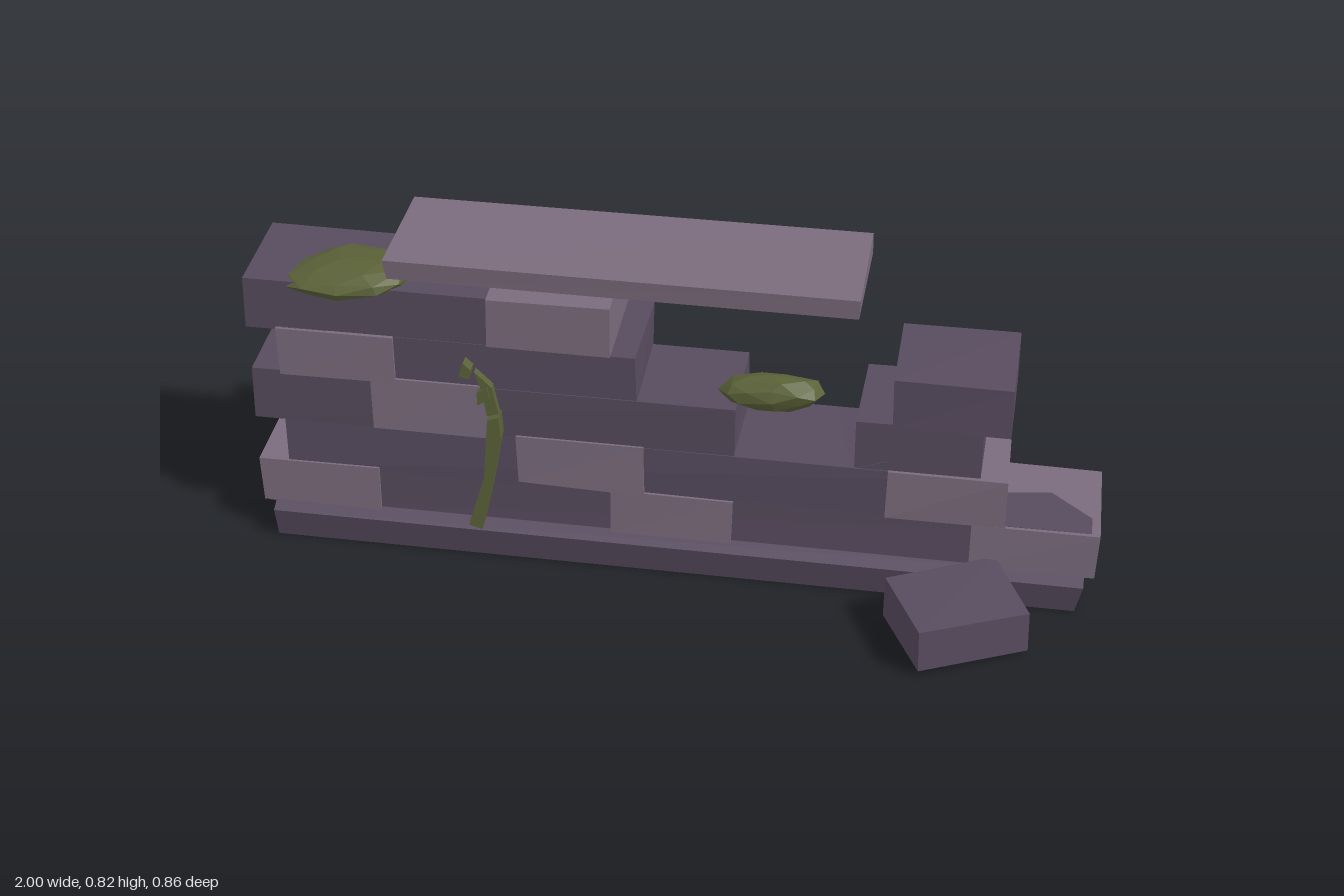
import * as THREE from 'three';

const mat = (name, color) => {
  const m = new THREE.MeshStandardMaterial({ color, flatShading: true });
  m.name = name;
  return m;
};

export function createModel() {
  const group = new THREE.Group();
  const dark = mat('dark stone', 0x584c5f);
  const light = mat('light stone', 0x7b6c7d);
  const moss = mat('moss green', 0x5b6238);

  let seed = 7;
  const rand = () => {
    seed = (seed * 16807) % 2147483647;
    return seed / 2147483647 - 0.5;
  };

  const add = (name, geo, material) => {
    const mesh = new THREE.Mesh(geo, material);
    mesh.name = name;
    group.add(mesh);
    return mesh;
  };

  // Moves shared corners together so the solid stays closed
  const roughen = (geo, amount) => {
    const g = geo.index ? geo.toNonIndexed() : geo;
    const p = g.attributes.position;
    const moved = {};
    for (let i = 0; i < p.count; i++) {
      const v = new THREE.Vector3().fromBufferAttribute(p, i);
      const key = v.toArray().map((n) => Math.round(n * 1000)).join();
      moved[key] ??= [rand() * amount, rand() * amount, rand() * amount];
      const [a, b, c] = moved[key];
      p.setXYZ(i, v.x + a, v.y + b, v.z + c);
    }
    g.computeVertexNormals();
    return g;
  };

  const stone = (name, material, x0, x1, y0, y1, z0, z1, rough = 0.008) => {
    const mesh = add(name, roughen(new THREE.BoxGeometry(x1 - x0, y1 - y0, z1 - z0), rough), material);
    mesh.position.set((x0 + x1) / 2, (y0 + y1) / 2, (z0 + z1) / 2);
    return mesh;
  };

  // Plinth: bevelled section swept along x
  const section = new THREE.Shape([
    [-0.13, 0], [0.16, 0], [0.175, 0.06], [0.135, 0.1], [-0.115, 0.1], [-0.15, 0.085],
  ].map(([a, b]) => new THREE.Vector2(a, b)));
  const plinth = new THREE.ExtrudeGeometry(section, { depth: 1.94, bevelEnabled: false });
  plinth.rotateY(Math.PI / 2);
  plinth.translate(-0.97, 0, 0);
  const pp = plinth.attributes.position;
  for (let i = 0; i < pp.count; i++) {
    if (pp.getY(i) < 0.03 && pp.getX(i) > 0) pp.setX(i, pp.getX(i) - 0.015);
  }
  plinth.computeVertexNormals();
  add('plinth', plinth, dark);

  // Courses: dark runs, with light bricks standing very slightly proud
  const courses = [
    { y: [0.09, 0.215], runs: [[-0.99, 0.98]], bricks: [[-1, -0.71], [-0.15, 0.14], [0.7, 0.995]] },
    { y: [0.21, 0.342], runs: [[-0.93, 0.765]], bricks: [[-0.37, -0.07], [0.5, 0.775]] },
    { y: [0.335, 0.475], runs: [[-1, 0.145], [0.425, 0.715]], bricks: [[-0.71, -0.43]] },
    { y: [0.465, 0.595], runs: [[-0.92, -0.085], [0.505, 0.775]], bricks: [[-0.93, -0.65]] },
    { y: [0.59, 0.722], runs: [[-1, -0.16]], bricks: [[-0.43, -0.145]] },
  ];
  courses.forEach(({ y: [y0, y1], runs, bricks }, i) => {
    for (const [a, b] of runs) stone(`courseRun${i + 1}`, dark, a, b, y0, y1, -0.13, 0.114, 0.006);
    for (const [a, b] of bricks) stone(`lightBrick${i + 1}`, light, a, b, y0 + 0.004, y1 + 0.003, -0.138, 0.121, 0.006);
  });

  // Broken slope beside the gap
  const slope = new THREE.Shape([
    [0.18, 0.33], [0.5, 0.33], [0.5, 0.37], [0.43, 0.345],
  ].map(([a, b]) => new THREE.Vector2(a, b)));
  add('brokenSlope', new THREE.ExtrudeGeometry(slope, { depth: 0.24, bevelEnabled: false }), dark).position.z = -0.127;

  // Coping slab and fallen stones
  stone('copingSlab', light, -0.655, 0.42, 0.76, 0.816, -0.15, 0.133, 0.008);
  stone('fallenStoneFront', dark, 0.547, 0.823, 0.015, 0.127, 0.165, 0.375, 0.012).rotation.y = 0.45;
  stone('fallenStoneBack', light, 0.28, 0.525, 0.012, 0.103, -0.4, -0.215, 0.014).rotation.y = -0.29;

  // Moss clumps
  const clump = (name, pos, size, tilt) => {
    const mesh = add(name, roughen(new THREE.IcosahedronGeometry(1, 1), 0.22), moss);
    mesh.scale.set(...size);
    mesh.position.set(...pos);
    mesh.rotation.z = tilt;
  };
  clump('mossOnTop', [-0.765, 0.717, 0.045], [0.155, 0.038, 0.11], 0.1);
  clump('mossInGap', [0.225, 0.516, 0.085], [0.122, 0.045, 0.048], 0.03);

  // Ivy: stem and small leaves on the front
  const ivy = (name, pts, z, depth) => {
    const shape = new THREE.Shape(pts.map(([a, b]) => new THREE.Vector2(a, b)));
    add(name, new THREE.ExtrudeGeometry(shape, { depth, bevelEnabled: false }), moss).position.z = z;
  };
  ivy('ivyStem', [[-0.487, 0.1], [-0.455, 0.09], [-0.43, 0.2], [-0.4, 0.36], [-0.403, 0.42], [-0.43, 0.41], [-0.445, 0.24]], 0.115, 0.037);
  ivy('ivyTip', [[-0.405, 0.41], [-0.42, 0.49], [-0.46, 0.53], [-0.445, 0.48], [-0.435, 0.41]], 0.113, 0.02);
  ivy('ivyLeaf', [[-0.495, 0.52], [-0.47, 0.515], [-0.465, 0.54], [-0.483, 0.558]], 0.113, 0.03);
  ivy('ivyLeaf', [[-0.455, 0.44], [-0.425, 0.46], [-0.43, 0.49], [-0.455, 0.475]], 0.113, 0.025);

  return group;
}
